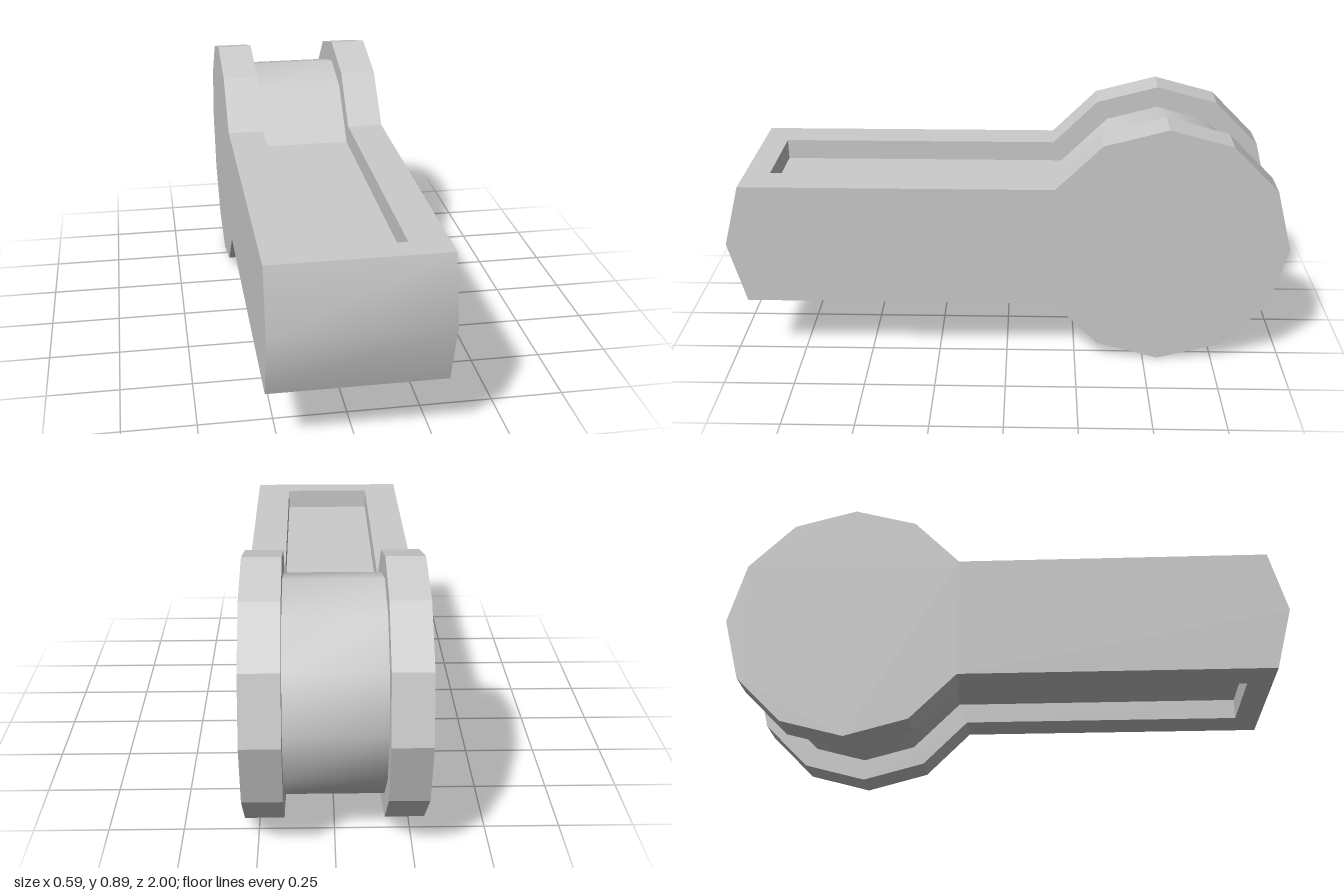
import * as THREE from 'three';

// Main dimensions; profiles are lists of [z, y]
const W = 0.295, IN = 0.165;            // half width of body, half width of channel
const CY = 0.448, CZ = -0.554, R = 0.446; // round end: centre and radius
const H = R / 2, D = 0.074;             // arm half height, channel depth
const TIP = 0.94, END = 0.85;           // arm end, pocket end
const NECK = CZ + R * Math.cos(Math.PI / 6);

// Points of a twelve-sided disc, from step a to step b
function arc(r, a, b) {
  const pts = [];
  for (let i = a; i <= b; i++) {
    const t = i * Math.PI / 6;
    pts.push([CZ + r * Math.cos(t), CY + r * Math.sin(t)]);
  }
  return pts;
}

export function createModel() {
  const group = new THREE.Group();
  const smoothMat = new THREE.MeshStandardMaterial({ color: 0xcccccc });
  const flatMat = new THREE.MeshStandardMaterial({ color: 0xcccccc, flatShading: true });

  function add(name, geometry, material = flatMat) {
    const mesh = new THREE.Mesh(geometry, material);
    mesh.name = name;
    group.add(mesh);
  }

  // Sweep a profile sideways from x0 to x1
  function strip(name, profile, x0, x1, smooth = false) {
    const pos = [], idx = [];
    profile.forEach(([z, y], i) => {
      pos.push(x0, y, z, x1, y, z);
      if (i) {
        const a = 2 * i - 2;
        idx.push(a, a + 1, a + 3, a, a + 3, a + 2);
      }
    });
    let geo = new THREE.BufferGeometry();
    geo.setAttribute('position', new THREE.Float32BufferAttribute(pos, 3));
    geo.setIndex(idx);
    if (!smooth) geo = geo.toNonIndexed();
    geo.computeVertexNormals();
    add(name, geo, smooth ? smoothMat : flatMat);
  }

  const shape = pts => new THREE.ShapeGeometry(new THREE.Shape(pts.map(p => new THREE.Vector2(...p))));

  // Flat profile at a given x, facing dir (+1 or -1) along x
  function plate(name, profile, x, dir) {
    const geo = shape(profile.map(([z, y]) => [-dir * z, y]));
    add(name, geo.rotateY(dir * Math.PI / 2).translate(x, 0, 0));
  }

  const top = CY + H, bottom = CY - H;
  const rim = arc(R, 1, 11);
  // Channel drum: the rim profile moved inward by the channel depth
  const corner = NECK - D * Math.tan(Math.PI / 8);
  const drum = [
    [corner, top - D],
    ...arc(R - D / Math.cos(Math.PI / 12), 2, 10),
    [corner, bottom + D],
  ];
  const tip = [[TIP, bottom], [1, CY], [TIP, top]];
  const outline = [...rim, ...tip];
  const channelWall = [
    [END, top], ...rim, [END, bottom],
    [END, bottom + D], ...drum.slice().reverse(), [END, top - D],
  ];

  // Sides, channel walls and flange rims
  for (const s of [1, -1]) {
    const side = s > 0 ? 'left' : 'right';
    plate(side + 'Side', outline, s * W, s);
    plate(side + 'ChannelWall', channelWall, s * IN, -s);
    strip(side + 'FlangeRim', rim, s > 0 ? IN : -W, s > 0 ? W : -IN);
  }

  // Rounded end faces
  strip('armTip', tip, -W, W, true);
  strip('drum', drum, -IN, IN, true);

  // Pocket floors and end walls
  strip('topPocketFloor', [[END, top - D], [corner, top - D]], -IN, IN);
  strip('bottomPocketFloor', [[corner, bottom + D], [END, bottom + D]], -IN, IN);
  strip('topPocketEnd', [[END, top], [END, top - D]], -IN, IN);
  strip('bottomPocketEnd', [[END, bottom + D], [END, bottom]], -IN, IN);

  // U-shaped frames around the two pockets
  const frame = [[-W, NECK], [-W, TIP], [W, TIP], [W, NECK], [IN, NECK], [IN, END], [-IN, END], [-IN, NECK]];
  add('topFrame', shape(frame.map(([x, z]) => [x, -z])).rotateX(-Math.PI / 2).translate(0, top, 0));
  add('bottomFrame', shape(frame).rotateX(Math.PI / 2).translate(0, bottom, 0));

  return group;
}
